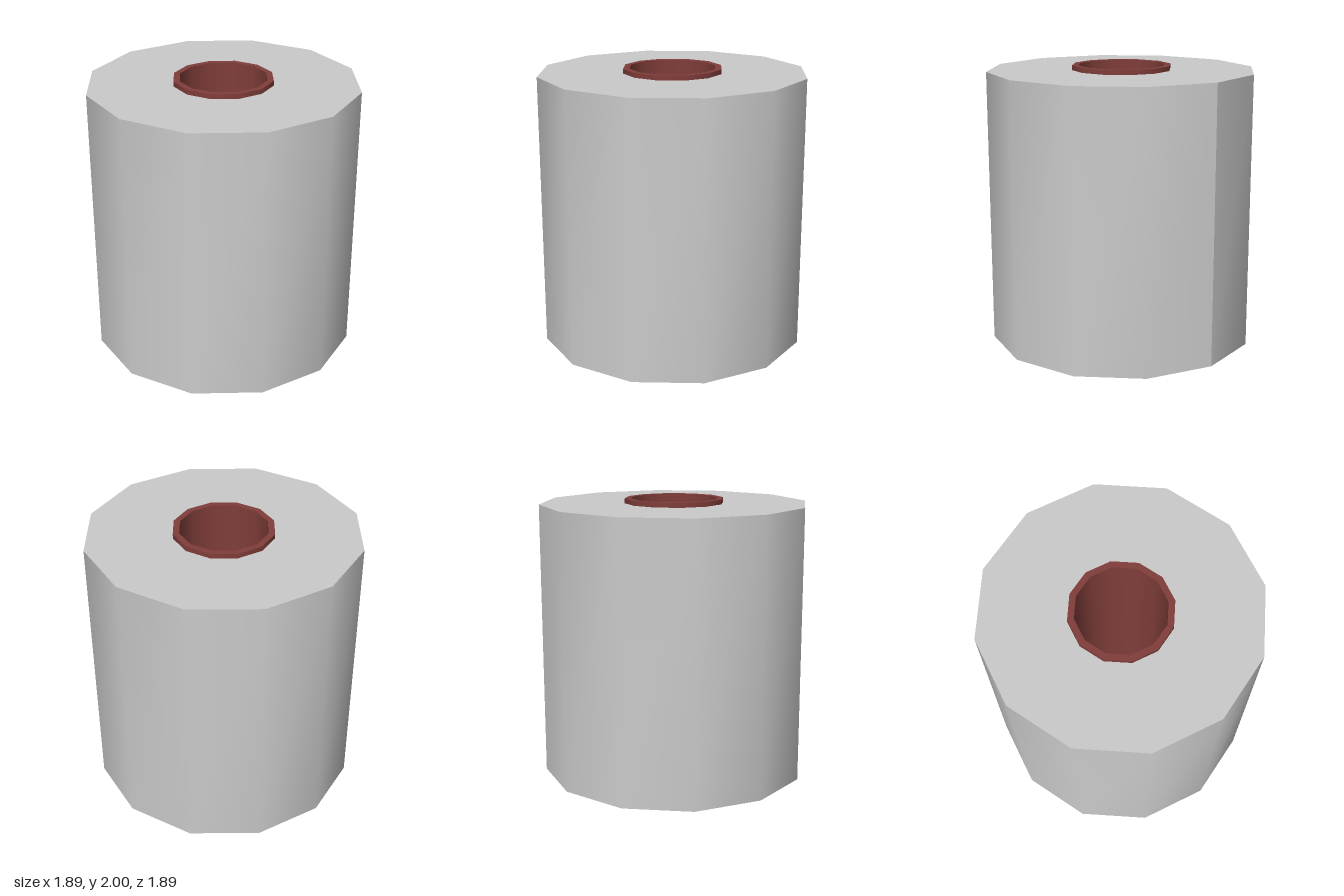
import * as THREE from 'three';

const SIDES = 12;
const SEAM = (5 * Math.PI) / 6; // angle where the loose sheet end lies

const paper = new THREE.MeshStandardMaterial({ color: 0xcccccc });
const card = new THREE.MeshStandardMaterial({ color: 0x813e3a });
const cardInside = card.clone();
cardInside.side = THREE.BackSide;

function wall(name, radius, y0, y1, material, seam = false) {
  const geo = new THREE.CylinderGeometry(radius, radius, y1 - y0, SIDES, 1, true, SEAM);
  // recomputed normals leave a visible crease along the seam
  if (seam) geo.computeVertexNormals();
  const mesh = new THREE.Mesh(geo, material);
  mesh.position.y = (y0 + y1) / 2;
  mesh.name = name;
  return mesh;
}

function endRing(name, inner, outer, y, up, material) {
  const mesh = new THREE.Mesh(new THREE.RingGeometry(inner, outer, SIDES), material);
  mesh.rotation.x = up ? -Math.PI / 2 : Math.PI / 2;
  mesh.position.y = y;
  mesh.name = name;
  return mesh;
}

export function createModel() {
  const model = new THREE.Group();
  model.name = 'paperRoll';

  // Wound sheet with flat ends
  const sheet = new THREE.Group();
  sheet.name = 'sheet';
  sheet.add(
    wall('sheetSide', 0.945, 0.035, 1.967, paper, true),
    endRing('sheetTop', 0.35, 0.945, 1.967, true, paper),
    endRing('sheetBottom', 0.35, 0.945, 0.035, false, paper)
  );

  // Hollow cardboard core, standing slightly proud at both ends
  const core = new THREE.Group();
  core.name = 'core';
  core.add(
    wall('coreOutside', 0.35, 0, 2, card),
    wall('coreInside', 0.306, 0, 2, cardInside),
    endRing('coreTopRim', 0.306, 0.35, 2, true, card),
    endRing('coreBottomRim', 0.306, 0.35, 0, false, card)
  );

  model.add(sheet, core);
  return model;
}
